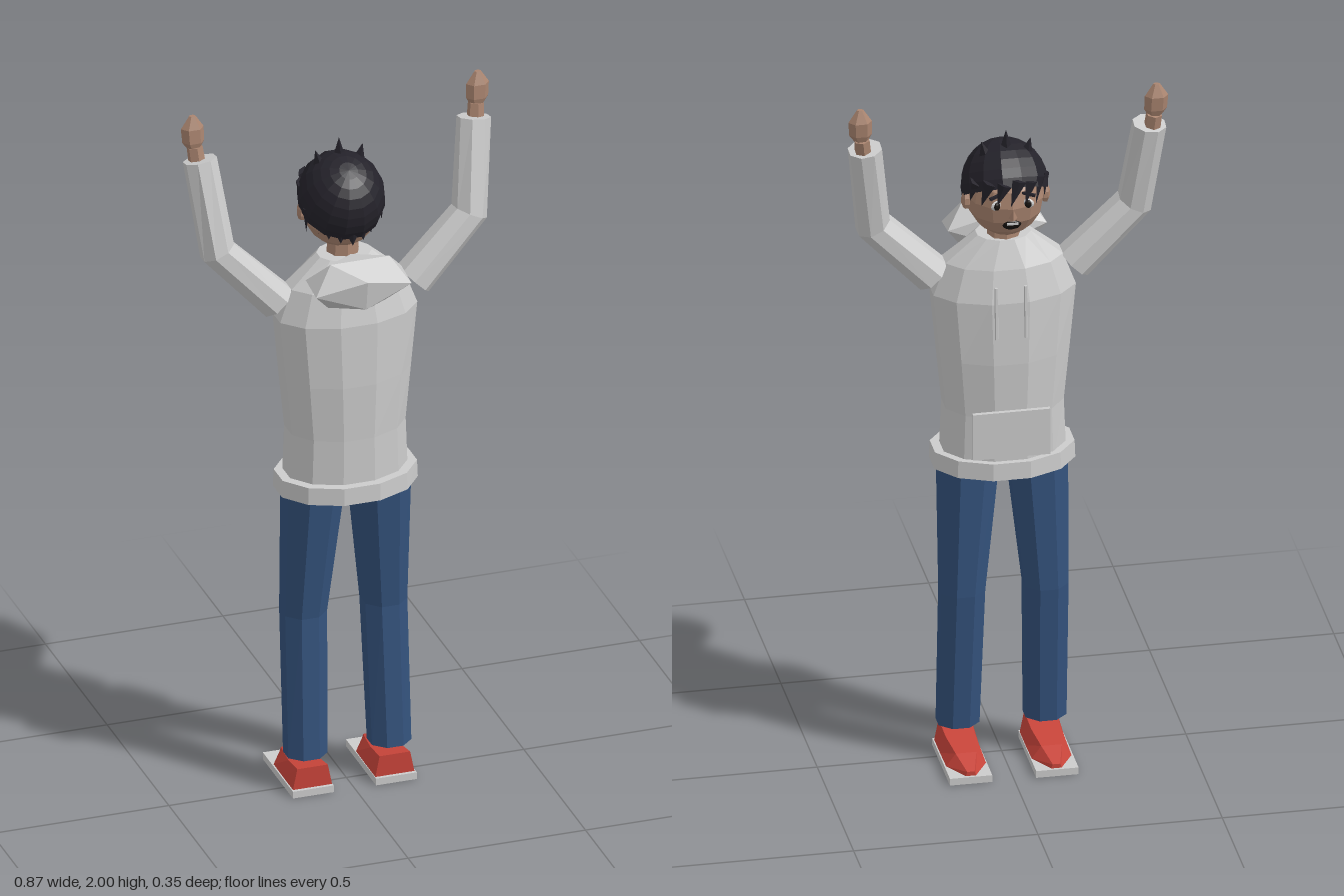
import * as THREE from 'three';

const mat = (color) => new THREE.MeshStandardMaterial({ color, flatShading: true, side: THREE.DoubleSide });
const cloth = mat(0xcccccc), skin = mat(0xaa8570), hair = mat(0x24222a);
const denim = mat(0x34527c), red = mat(0xc8443a), dark = mat(0x16120f), white = mat(0xf0f0f0);

// Loft through elliptical rings [x, y, z, rx, rz], each ring square to the path (or level)
function loft(rings, n, level = false, phase = 0) {
  const pos = [], index = [];
  const at = (i) => new THREE.Vector3(rings[i][0], rings[i][1], rings[i][2]);
  const last = rings.length - 1;
  rings.forEach((r, i) => {
    const d = new THREE.Vector3(0, 1, 0);
    if (!level) {
      d.set(0, 0, 0);
      if (i > 0) d.add(at(i).sub(at(i - 1)).normalize());
      if (i < last) d.add(at(i + 1).sub(at(i)).normalize());
      d.normalize();
    }
    const u = d.clone().cross(new THREE.Vector3(0, 0, 1)).normalize();
    const w = u.clone().cross(d);
    for (let j = 0; j < n; j++) {
      const a = ((j + phase) / n) * Math.PI * 2;
      const p = at(i).addScaledVector(u, Math.cos(a) * r[3]).addScaledVector(w, Math.sin(a) * r[4]);
      pos.push(p.x, p.y, p.z);
    }
  });
  const low = (last + 1) * n, high = low + 1;
  pos.push(...at(0).toArray(), ...at(last).toArray());
  for (let j = 0; j < n; j++) {
    const k = (j + 1) % n;
    for (let i = 0; i < last; i++) {
      const a = i * n + j, b = i * n + k, c = a + n, d = b + n;
      index.push(a, c, b, b, c, d);
    }
    index.push(low, j, k, high, last * n + k, last * n + j);
  }
  const g = new THREE.BufferGeometry();
  g.setAttribute('position', new THREE.Float32BufferAttribute(pos, 3));
  g.setIndex(index);
  g.computeVertexNormals();
  return g;
}

// Shoe upper: a box narrowed and lowered towards the toe
function shoeUpper() {
  const g = new THREE.BoxGeometry(2, 1, 3, 1, 1, 3), p = g.attributes.position;
  const rows = [ // z, half width at base, half width at top, height
    [0.06, 0.055, 0.043, 0.08], [-0.02, 0.055, 0.04, 0.068],
    [-0.1, 0.054, 0.028, 0.055], [-0.167, 0.014, 0.01, 0.032]];
  for (let i = 0; i < p.count; i++) {
    const [z, base, top, h] = rows[Math.round(1.5 - p.getZ(i))];
    const up = p.getY(i) > 0;
    p.setXYZ(i, p.getX(i) * (up ? top : base), up ? h : 0.02, z);
  }
  g.computeVertexNormals();
  return g;
}

export function createModel() {
  const model = new THREE.Group();
  const add = (name, geometry, material, position = [0, 0, 0], scale = [1, 1, 1], rotation = [0, 0, 0]) => {
    const m = new THREE.Mesh(geometry, material);
    m.name = name;
    m.position.set(...position);
    m.scale.set(...scale);
    m.rotation.set(...rotation);
    model.add(m);
    return m;
  };

  // Hooded top
  add('sweaterBody', loft([
    [0, 0.91, -0.012, 0.172, 0.122], [0, 1.06, -0.012, 0.166, 0.122], [0, 1.22, -0.013, 0.182, 0.126],
    [0, 1.4, -0.012, 0.2, 0.122], [0, 1.49, -0.012, 0.165, 0.1], [0, 1.565, -0.02, 0.075, 0.062]], 12, true, 0.5), cloth);
  add('sweaterHem', loft([[0, 0.883, -0.008, 0.198, 0.144], [0, 0.932, -0.008, 0.196, 0.142]], 12, true, 0.5), cloth);
  add('hood', new THREE.IcosahedronGeometry(1, 0), cloth, [0, 1.53, 0.1], [0.158, 0.082, 0.082], [0.15, 0, 0]);
  add('frontPocket', new THREE.BoxGeometry(0.21, 0.135, 0.012), cloth, [0, 1.015, -0.136]);

  // Neck and head
  add('neck', new THREE.CylinderGeometry(0.042, 0.048, 0.11, 8), skin, [0, 1.575, -0.03]);
  add('head', new THREE.SphereGeometry(1, 12, 8), skin, [0, 1.695, -0.047], [0.106, 0.118, 0.112]);
  add('nose', new THREE.ConeGeometry(0.012, 0.03, 4), skin, [0, 1.683, -0.16], [1, 1, 1], [-0.3, 0, 0]);
  add('mouth', new THREE.SphereGeometry(1, 8, 6), dark, [0, 1.643, -0.143], [0.026, 0.017, 0.009], [-0.45, 0, 0]);
  add('teeth', new THREE.BoxGeometry(0.03, 0.006, 0.004), white, [0, 1.65, -0.153]);

  // Hair cap tilted back, with locks round its edge and spikes on top
  add('hairCap', new THREE.SphereGeometry(1, 14, 8, 0, Math.PI * 2, 0, 1.76), hair,
    [0, 1.718, -0.043], [0.118, 0.124, 0.127], [0.54, 0, 0]);
  const lock = (name, phi, y, r, length, width, lean = 0) => {
    const m = add(name, new THREE.ConeGeometry(width, length, 4), hair,
      [r * 0.94 * Math.sin(phi), y, -0.043 - r * Math.cos(phi)], [1, 1, 0.45]);
    m.rotation.set(0, -phi, Math.PI + lean, 'YXZ');
  };
  [-1.15, -0.75, -0.4, -0.05, 0.3, 0.7, 1.1].forEach((phi, i) =>
    lock('fringeLock', phi, 1.742 - 0.012 * Math.abs(phi), 0.117, 0.065 + 0.012 * (i % 2), 0.02, 0.3));
  for (let i = 0; i < 7; i++) lock('napeLock', Math.PI + (i - 3) * 0.36, 1.64 + Math.abs(i - 3) * 0.008, 0.096, 0.05, 0.024);
  [[0, 1.85, 0.07, 0], [-0.06, 1.83, 0.055, 0.25], [0.06, 1.83, 0.055, -0.25]].forEach(([x, y, h, tilt]) =>
    add('hairSpike', new THREE.ConeGeometry(0.021, h, 4), hair, [x, y, -0.06], [1, 1, 1], [0, 0, tilt]));

  for (const s of [-1, 1]) {
    const side = s > 0 ? 'left' : 'right';

    // Face pair and drawstring
    add(side + 'Ear', new THREE.SphereGeometry(1, 6, 5), skin, [s * 0.107, 1.685, -0.055], [0.014, 0.028, 0.019]);
    add(side + 'EyeWhite', new THREE.SphereGeometry(1, 8, 6), white, [s * 0.042, 1.705, -0.146], [0.018, 0.014, 0.007], [0, s * 0.4, 0]);
    add(side + 'Pupil', new THREE.SphereGeometry(1, 8, 6), dark, [s * 0.042, 1.705, -0.151], [0.01, 0.012, 0.006], [0, s * 0.4, 0]);
    add(side + 'Brow', new THREE.BoxGeometry(0.036, 0.007, 0.008), hair, [s * 0.045, 1.732, -0.147], [1, 1, 1], [0, s * 0.4, s * -0.15]);
    add(side + 'SideLock', new THREE.ConeGeometry(0.02, 0.07, 4), hair, [s * 0.106, 1.675, -0.02], [0.5, 1, 1], [Math.PI, 0, 0]);
    add(side + 'Drawstring', new THREE.CylinderGeometry(0.005, 0.005, 0.15, 5), cloth, [s * 0.04, 1.375, -0.134], [1, 1, 1], [0.06, 0, 0]);

    // Raised arm
    add(side + 'Sleeve', loft([
      [s * 0.192, 1.453, -0.014, 0.054, 0.06], [s * 0.355, 1.622, -0.026, 0.05, 0.055],
      [s * 0.386, 1.875, -0.077, 0.047, 0.042]], 8, false, 0.5), cloth);
    add(side + 'Wrist', new THREE.CylinderGeometry(0.022, 0.024, 0.07, 6), skin, [s * 0.393, 1.875, -0.084], [1, 1, 1], [-0.15, 0, s * -0.1]);
    add(side + 'Hand', loft([
      [s * 0.398, 1.9, -0.088, 0.015, 0.012], [s * 0.4, 1.925, -0.09, 0.031, 0.021],
      [s * 0.402, 1.965, -0.093, 0.032, 0.022], [s * 0.402, 2, -0.093, 0.009, 0.007]], 6, true), skin);

    // Trouser leg and shoe
    add(side + 'TrouserLeg', loft([
      [s * 0.118, 0.1, 0.007, 0.06, 0.056], [s * 0.113, 0.51, -0.025, 0.064, 0.064],
      [s * 0.092, 0.91, -0.004, 0.088, 0.086]], 8, true, 0.5), denim);
    add(side + 'ShoeUpper', shoeUpper(), red, [s * 0.116, 0, 0]);
    add(side + 'ShoeSole', new THREE.BoxGeometry(0.115, 0.02, 0.245), cloth, [s * 0.117, 0.01, -0.0525]);
  }
  return model;
}
